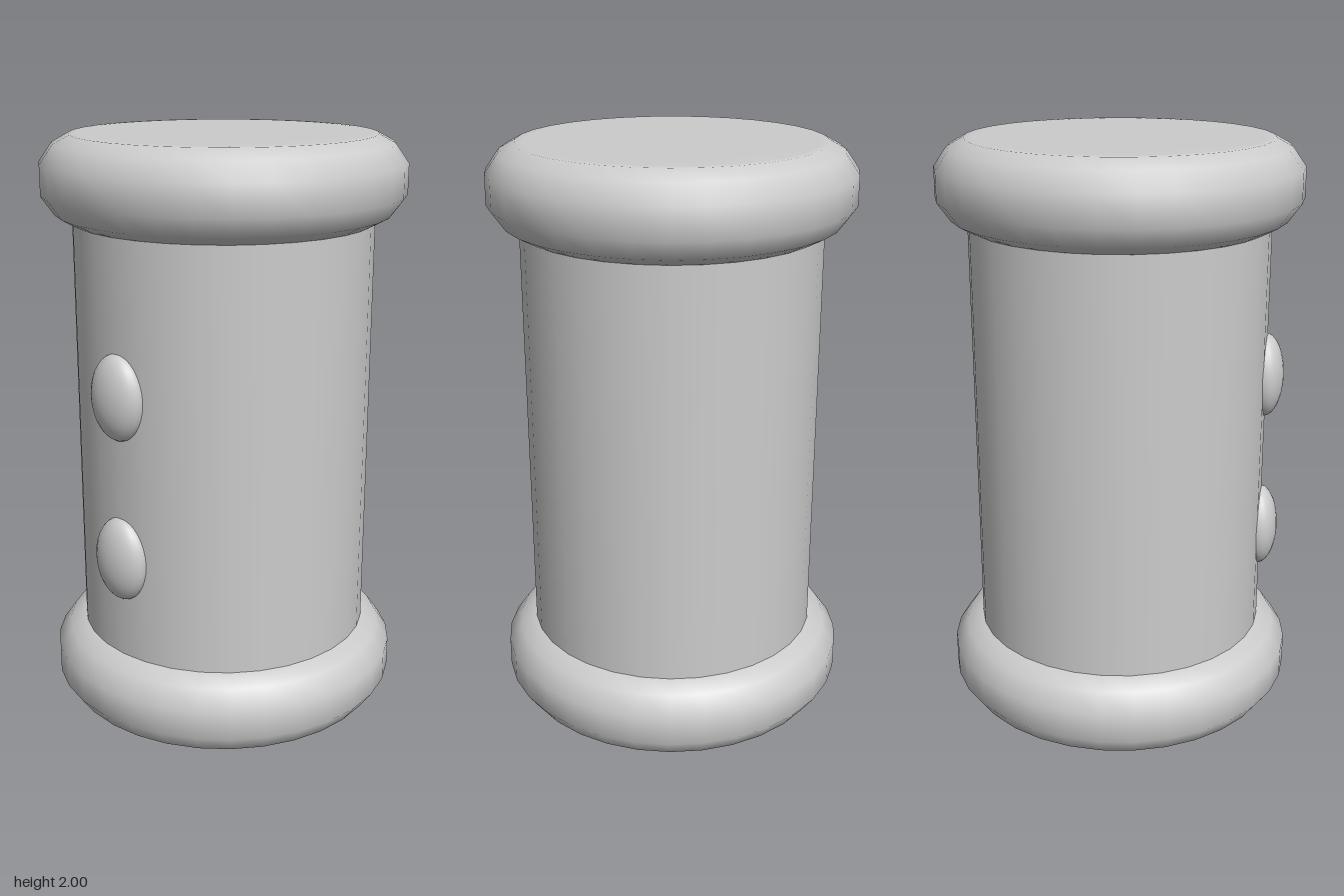
import * as THREE from 'three';

const SIDES = 32;

export function createModel() {
  const model = new THREE.Group();
  model.name = 'spool';
  const grey = new THREE.MeshStandardMaterial({ color: 0xcccccc });
  grey.name = 'light grey';

  const add = (name, geometry, x, y, z) => {
    const mesh = new THREE.Mesh(geometry, grey);
    mesh.name = name;
    mesh.position.set(x, y, z);
    model.add(mesh);
    return mesh;
  };

  // Central drum, its open ends hidden inside the rims
  add('drum', new THREE.CylinderGeometry(0.505, 0.505, 1.6, SIDES, 1, true), 0, 1, 0);

  // Rounded rim with flat faces, mirrored about its middle
  const half = [[0, 0.143], [0.48, 0.143], [0.508, 0.142], [0.562, 0.113], [0.607, 0.05]];
  const profile = [
    ...half.map(([r, y]) => new THREE.Vector2(r, -y)),
    ...half.map(([r, y]) => new THREE.Vector2(r, y)).reverse(),
  ];
  const rim = new THREE.LatheGeometry(profile, SIDES);
  add('bottomRim', rim, 0, 0.143, 0);
  add('topRim', rim, 0, 1.857, 0);

  // Two oval buttons on the front
  const button = new THREE.SphereGeometry(1, 24, 16).scale(0.108, 0.145, 0.065);
  add('lowerButton', button, 0, 0.64, 0.5);
  add('upperButton', button, 0, 1.2, 0.5);

  return model;
}
